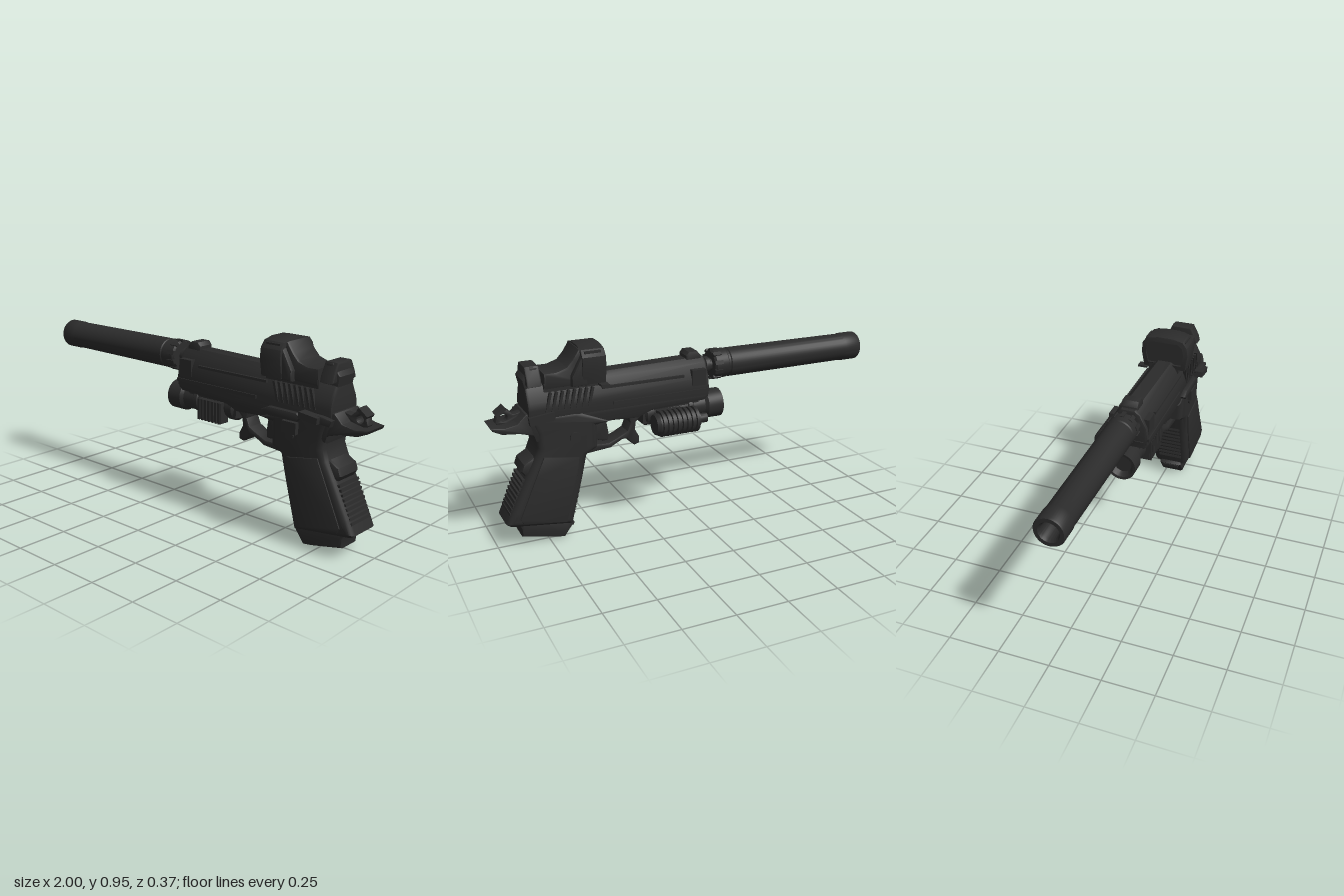
import * as THREE from 'three';
import { toCreasedNormals } from 'three/addons/utils/BufferGeometryUtils.js';

const gunmetal = new THREE.MeshStandardMaterial({ color: 0x2b2b2b, side: THREE.DoubleSide });
gunmetal.name = 'gunmetal';
const ZC = 0.035; // centre plane of the pistol

export function createModel() {
  const model = new THREE.Group();
  model.name = 'pistol';

  const add = (name, geo) => {
    const mesh = new THREE.Mesh(toCreasedNormals(geo, 0.6), gunmetal);
    mesh.name = name;
    model.add(mesh);
    return mesh;
  };
  const toShape = pts => new THREE.Shape(pts.map(p => new THREE.Vector2(p[0], p[1])));
  const extrude = (shape, depth, bevel) => new THREE.ExtrudeGeometry(shape, {
    depth: depth - 2 * bevel, bevelEnabled: true, bevelSize: bevel, bevelThickness: bevel,
    bevelOffset: -bevel, bevelSegments: bevel > 0.02 ? 5 : 2, curveSegments: 14,
  }).translate(0, 0, bevel);
  // Side profile in x, y with a width in z
  const side = (name, pts, width, bevel, z = ZC, holes = []) => {
    const shape = toShape(pts);
    shape.holes.push(...holes);
    return add(name, extrude(shape, width, bevel).translate(0, 0, z - width / 2));
  };
  // Cross-section in z, y swept from x0 to x1
  const across = (name, shape, x0, x1, bevel) =>
    add(name, extrude(shape, x1 - x0, bevel).rotateY(Math.PI / 2).translate(x0, 0, ZC));
  // Turned part along x, from points of x, radius
  const turned = (name, pts, y, z, n) => add(name,
    new THREE.LatheGeometry(pts.map(p => new THREE.Vector2(p[1], p[0])), n).rotateZ(-Math.PI / 2).translate(0, y, z));
  const box = (name, sx, sy, sz, x, y, z, tilt = 0) =>
    add(name, new THREE.BoxGeometry(sx, sy, sz).rotateZ(tilt).translate(x, y, z));

  // Suppressor with open bore
  turned('suppressor', [[-0.9, 0], [-0.9, 0.035], [-0.985, 0.042], [-1, 0.05], [-1, 0.068], [-0.992, 0.073],
    [-0.91, 0.073], [-0.9, 0.07], [-0.23, 0.073], [-0.225, 0.069], [-0.215, 0.069], [-0.21, 0.074], [-0.145, 0.074],
    [-0.135, 0.066], [-0.135, 0]], 0.759, 0.039, 48);
  for (let i = 0; i < 10; i++) {
    const a = i * Math.PI / 5;
    add('suppressorLug', new THREE.BoxGeometry(0.045, 0.012, 0.02).translate(-0.155, 0.072, 0)
      .rotateX(a).translate(0, 0.759, 0.039));
  }
  turned('barrel', [[-0.15, 0], [-0.15, 0.032], [-0.125, 0.032], [-0.12, 0.042], [-0.1, 0.042], [-0.095, 0.035],
    [-0.05, 0.035], [-0.05, 0]], 0.759, ZC, 24);

  // Slide, chamfered on top, tapering slightly to the rear
  const slideSection = toShape([[-0.098, 0.635], [0.098, 0.635], [0.102, 0.68], [0.094, 0.73], [0.062, 0.795],
    [0.035, 0.817], [-0.035, 0.817], [-0.062, 0.795], [-0.094, 0.73], [-0.102, 0.68]]);
  const slide = across('slide', slideSection, -0.085, 0.83, 0.012);
  const p = slide.geometry.attributes.position;
  for (let i = 0; i < p.count; i++) {
    if (p.getY(i) > 0.72) p.setY(i, p.getY(i) - 0.022 * Math.max(0, p.getX(i)));
  }
  for (const s of [-1, 1]) {
    box('slideRib', 0.42, 0.012, 0.012, 0.26, 0.745, ZC + s * 0.09);
    box('slideRail', 0.5, 0.016, 0.014, 0.17, 0.665, ZC + s * 0.1);
    // Slanted grip serrations
    for (let i = 0; i < 8; i++) box('serration', 0.012, 0.095, 0.016, 0.53 + i * 0.029, 0.712, ZC + s * 0.097, 0.25);
  }
  side('frontSight', [[-0.07, 0.79], [-0.065, 0.825], [-0.045, 0.848], [0, 0.848], [0.015, 0.83], [0.015, 0.79]], 0.085, 0.006);
  box('sightBand', 0.075, 0.08, 0.205, -0.028, 0.73, ZC);

  // Reflex sight: rounded window housing, hood and base
  const housing = toShape([[-0.128, 0.86], [-0.122, 0.905], [-0.098, 0.936], [-0.045, 0.948], [0.035, 0.948],
    [0.09, 0.936], [0.118, 0.905], [0.122, 0.855], [0.108, 0.775], [-0.115, 0.775]]);
  housing.holes.push(toShape([[-0.108, 0.86], [-0.1, 0.9], [-0.075, 0.923], [0.07, 0.923], [0.096, 0.9],
    [0.103, 0.855], [0.09, 0.795], [-0.095, 0.795]]));
  across('opticHousing', housing, 0.455, 0.57, 0.004);
  box('opticLens', 0.08, 0.15, 0.215, 0.515, 0.855, ZC + 0.002);
  side('opticHood', [[0.55, 0.77], [0.55, 0.94], [0.575, 0.94], [0.605, 0.895], [0.635, 0.862], [0.685, 0.845],
    [0.745, 0.845], [0.745, 0.765]], 0.17, 0.014);
  side('opticShoulder', [[0.54, 0.77], [0.54, 0.9], [0.565, 0.92], [0.62, 0.82], [0.62, 0.77]], 0.225, 0.012);
  box('opticBase', 0.29, 0.04, 0.16, 0.6, 0.775, ZC);
  box('opticLever', 0.04, 0.01, 0.05, 0.47, 0.768, -0.08);

  // Rear sight
  const rear = toShape([[-0.09, 0.79], [0.09, 0.79], [0.082, 0.82], [0.052, 0.877], [-0.052, 0.877], [-0.082, 0.82]]);
  across('rearSight', rear, 0.755, 0.825, 0.008);
  side('rearSightBlade', [[0.74, 0.75], [0.765, 0.82], [0.765, 0.87], [0.8, 0.875], [0.84, 0.82], [0.825, 0.75]], 0.12, 0.008);

  // Frame and dust cover
  side('frame', [[-0.09, 0.655], [-0.085, 0.62], [-0.06, 0.605], [0.22, 0.592], [0.29, 0.565], [0.42, 0.572], [0.52, 0.56],
    [0.8, 0.52], [0.83, 0.62], [0.82, 0.665]], 0.19, 0.018);
  const grip = [[0.42, 0.575], [0.5, 0.56], [0.5, 0.45], [0.555, 0.42], [0.58, 0.31], [0.64, 0.075], [0.94, 0.115],
    [0.962, 0.13], [0.93, 0.2], [0.852, 0.36], [0.81, 0.44], [0.79, 0.49], [0.8, 0.56], [0.83, 0.65], [0.6, 0.66]];
  side('grip', grip, 0.202, 0.034);
  side('gripSafety', [[0.76, 0.44], [0.81, 0.445], [0.86, 0.417], [0.873, 0.38], [0.853, 0.352], [0.78, 0.34]], 0.15, 0.016);
  for (const s of [-1, 1]) {
    side('gripPanel', [[0.6, 0.42], [0.615, 0.31], [0.675, 0.1], [0.885, 0.13], [0.9, 0.155], [0.81, 0.36], [0.77, 0.45]],
      0.014, 0.004, ZC + s * 0.1);
  }
  // Ribs on the front and back straps
  for (let i = 0; i < 9; i++) {
    const t = i / 8;
    box('frontStrapRib', 0.035, 0.013, 0.13, 0.588 + 0.05 * t, 0.335 - 0.21 * t, ZC, -0.2);
    box('backStrapRib', 0.05, 0.012, 0.15, 0.85 + 0.068 * t, 0.335 - 0.16 * t, ZC, 0.15);
  }
  side('magazineBase', [[0.655, 0.1], [0.625, 0.068], [0.655, 0.028], [0.675, 0], [0.72, 0.006], [0.885, 0.042],
    [0.888, 0.085], [0.91, 0.13]], 0.13, 0.014);
  box('magazineLip', 0.045, 0.016, 0.09, 0.645, 0.06, ZC, 0.15);

  // Beavertail with a rounded end
  const tail = side('beavertail', [[0.78, 0.52], [0.81, 0.558], [0.87, 0.576], [0.95, 0.582], [0.99, 0.598],
    [1, 0.614], [0.94, 0.612], [0.88, 0.625], [0.84, 0.665], [0.79, 0.665]], 0.18, 0.006);
  const tp = tail.geometry.attributes.position;
  for (let i = 0; i < tp.count; i++) {
    const k = Math.max(0, (tp.getX(i) - 0.9) / 0.1);
    tp.setZ(i, ZC + (tp.getZ(i) - ZC) * (1 - 0.35 * k * k));
  }

  // Ring hammer
  const hammer = [[0.82, 0.6], [0.87, 0.61], [0.9, 0.612], [0.945, 0.598], [0.965, 0.62], [0.955, 0.655],
    [0.935, 0.68], [0.915, 0.685], [0.88, 0.652], [0.82, 0.665]];
  side('hammer', hammer, 0.045, 0.004, ZC, [new THREE.Path().absarc(0.925, 0.642, 0.018, 0, Math.PI * 2)]);
  box('hammerSpur', 0.055, 0.016, 0.06, 0.938, 0.672, ZC, -0.65);

  // Trigger guard with forward hook
  side('triggerGuard', [[0.23, 0.6], [0.26, 0.555], [0.285, 0.53], [0.29, 0.49], [0.268, 0.45], [0.27, 0.42], [0.295, 0.412],
    [0.318, 0.43], [0.335, 0.452], [0.36, 0.45], [0.42, 0.418], [0.56, 0.405], [0.56, 0.45], [0.43, 0.444],
    [0.375, 0.468], [0.332, 0.49], [0.315, 0.53], [0.325, 0.565], [0.34, 0.6]], 0.09, 0.008);
  side('trigger', [[0.42, 0.59], [0.43, 0.54], [0.422, 0.49], [0.425, 0.455], [0.445, 0.452], [0.5, 0.468], [0.51, 0.59]], 0.06, 0.008);

  // Controls on both sides
  side('slideStop', [[0.46, 0.62], [0.48, 0.6], [0.66, 0.6], [0.68, 0.62], [0.66, 0.638], [0.5, 0.64]], 0.03, 0.005, 0.142);
  box('stopTab', 0.08, 0.055, 0.03, 0.62, 0.565, 0.143);
  add('magazineButton', new THREE.CylinderGeometry(0.023, 0.026, 0.22, 20).rotateX(Math.PI / 2).translate(0.615, 0.525, ZC));
  side('safetyLever', [[0.69, 0.655], [0.7, 0.63], [0.78, 0.615], [0.84, 0.61], [0.85, 0.64], [0.8, 0.65]], 0.03, 0.005, 0.145);
  box('safetyPad', 0.1, 0.03, 0.05, 0.74, 0.638, 0.158, -0.12);
  box('rightSafety', 0.12, 0.04, 0.03, 0.77, 0.64, -0.064, -0.12);

  // Weapon light under the dust cover
  turned('light', [[-0.15, 0], [-0.15, 0.045], [-0.178, 0.06], [-0.18, 0.073], [-0.1, 0.073], [-0.085, 0.06],
    [-0.02, 0.058], [-0.015, 0.063], [0.005, 0.063], [0.01, 0.057], [0.19, 0.055], [0.195, 0.062], [0.23, 0.062],
    [0.24, 0.05], [0.24, 0]], 0.556, ZC, 36);
  box('lightMount', 0.28, 0.05, 0.1, 0.09, 0.597, ZC);
  box('lightPanel', 0.15, 0.1, 0.05, 0.105, 0.53, 0.085);
  for (let i = 0; i < 7; i++) box('panelRib', 0.012, 0.105, 0.062, 0.04 + i * 0.022, 0.53, 0.086);
  box('lightSwitch', 0.035, 0.06, 0.1, 0.235, 0.545, ZC);

  // Ribbed laser module on the right
  const ribs = [[0.015, 0], [0.015, 0.05]];
  for (let i = 0; i < 8; i++) {
    const x = 0.02 + i * 0.025;
    ribs.push([x, 0.063], [x + 0.015, 0.063], [x + 0.016, 0.052], [x + 0.024, 0.052]);
  }
  ribs.push([0.222, 0.056], [0.238, 0.048], [0.238, 0]);
  turned('laserModule', ribs, 0.545, -0.121, 32);
  turned('laserNose', [[-0.015, 0], [-0.015, 0.012], [-0.035, 0.015], [-0.035, 0.024], [0, 0.024], [0.005, 0.035],
    [0.03, 0.035]], 0.545, -0.128, 24);
  box('laserBracket', 0.13, 0.06, 0.1, 0.12, 0.55, -0.04);

  return model;
}
